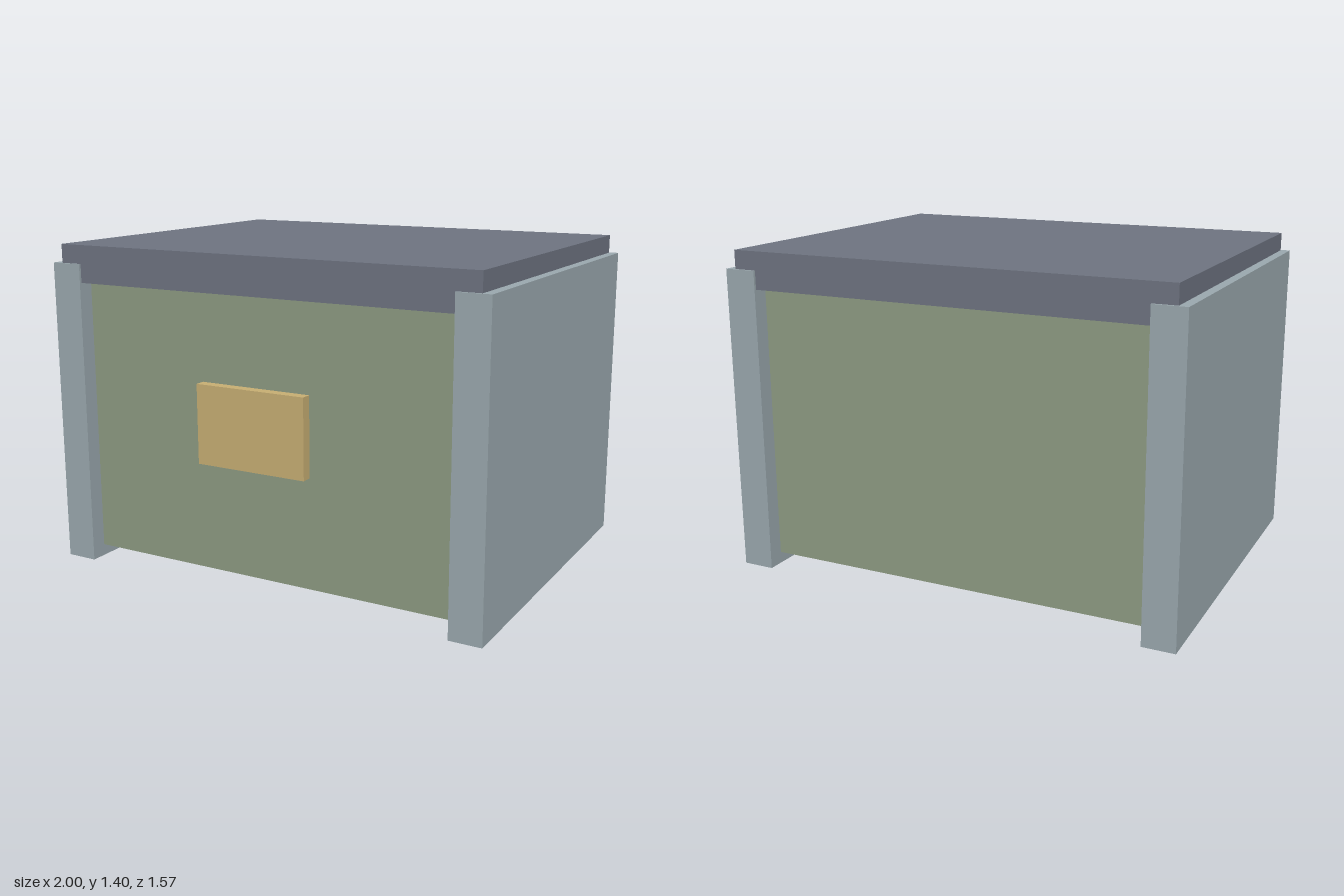
import * as THREE from 'three';

const material = (name, color) => {
  const m = new THREE.MeshStandardMaterial({ color });
  m.name = name;
  return m;
};

// Box given by its [min, max] range along each axis
function block(name, mat, [x0, x1], [y0, y1], [z0, z1]) {
  const mesh = new THREE.Mesh(new THREE.BoxGeometry(x1 - x0, y1 - y0, z1 - z0), mat);
  mesh.position.set((x0 + x1) / 2, (y0 + y1) / 2, (z0 + z1) / 2);
  mesh.name = name;
  return mesh;
}

export function createModel() {
  const paleGrey = material('pale blue grey', 0x9caab0);
  const sage = material('sage green', 0x8f9d84);
  const slate = material('slate grey', 0x6f7582);
  const brass = material('brass', 0xc9b074);

  const group = new THREE.Group();
  group.name = 'storageBox';

  // Recessed body, raised slightly off the ground
  group.add(block('body', sage, [-0.86, 0.86], [0.05, 1.24], [-0.715, 0.69]));

  // Thick side panels that stand on the ground
  group.add(block('leftPanel', paleGrey, [0.86, 1], [0, 1.32], [-0.785, 0.76]));
  group.add(block('rightPanel', paleGrey, [-1, -0.86], [0, 1.32], [-0.785, 0.76]));

  // Lid set into the side panels
  group.add(block('lid', slate, [-0.96, 0.96], [1.24, 1.4], [-0.775, 0.75]));

  // Front plate
  group.add(block('frontPlate', brass, [-0.25, 0.25], [0.54, 0.875], [0.74, 0.785]));

  return group;
}
